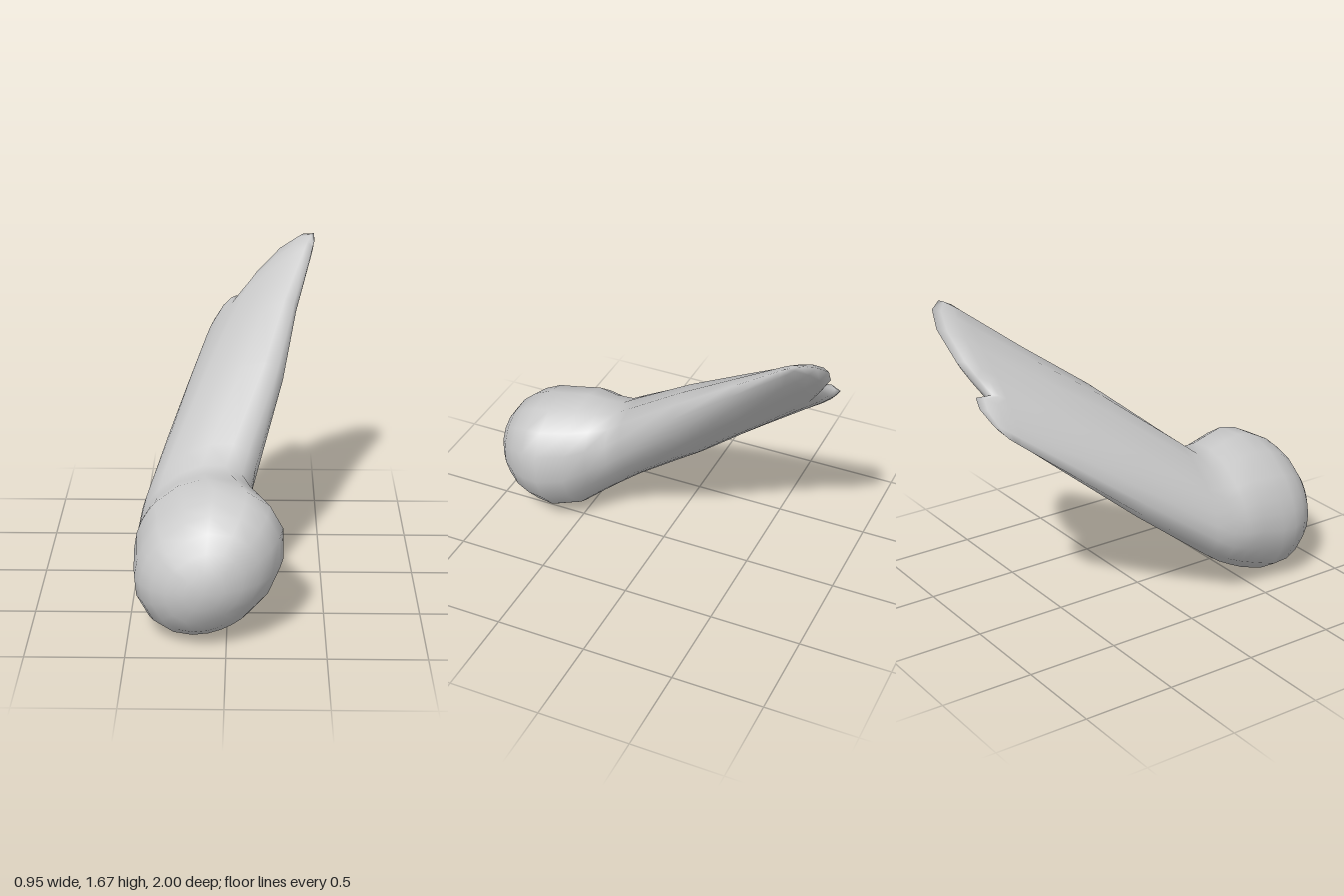
import * as THREE from 'three';
import { mergeVertices } from 'three/addons/utils/BufferGeometryUtils.js';

// Section axes: W runs across the blade, N through its thickness
const W = [0.73, 0.68], N = [-0.68, 0.73];

// Sections of the body: z, centre x, centre y, half width, half thickness
const sections = [
  [0.5, -0.12, 0.41, 0.385, 0.33],
  [0.4, -0.15, 0.435, 0.36, 0.275],
  [0.3, -0.175, 0.47, 0.34, 0.235],
  [0.2, -0.155, 0.55, 0.36, 0.22],
  [-0.18, -0.03, 0.855, 0.4, 0.18],
  [-0.52, 0.06, 1.12, 0.4, 0.12],
  [-0.8, 0.155, 1.345, 0.41, 0.07],
];

// Outline of the notched end: position across the blade, z
const endOutline = [[-1, -0.86], [-0.92, -0.92], [-0.76, -0.96], [-0.58, -0.95], [-0.41, -0.87],
  [-0.25, -0.93], [-0.1, -0.97], [0.3, -1], [0.65, -0.97], [0.92, -0.9], [1, -0.83]];

// Points round a section: out along one face and back along the other
const last = endOutline.length - 1;
const loop = [];
for (let i = last; i >= 0; i--) loop.push({ s: endOutline[i][0], end: endOutline[i][1], side: 1 });
for (let i = 1; i < last; i++) loop.push({ s: endOutline[i][0], end: endOutline[i][1], side: -1 });

function ringPoint(p, z, cx, cy, a, b) {
  const u = a * p.s, v = b * p.side * Math.sqrt(Math.max(0, 1 - p.s * p.s));
  return [cx + W[0] * u + N[0] * v, cy + W[1] * u + N[1] * v, z];
}

function loft(rings) {
  const n = loop.length, index = [];
  for (let i = 0; i < rings.length - 1; i++) {
    for (let j = 0; j < n; j++) {
      const k = (j + 1) % n;
      const a = i * n + j, b = i * n + k, c = a + n, d = b + n;
      index.push(c, d, a, d, b, a);
    }
  }
  const g = new THREE.BufferGeometry();
  g.setAttribute('position', new THREE.Float32BufferAttribute(rings.flat(2), 3));
  g.setIndex(index);
  const merged = mergeVertices(g, 1e-4);
  merged.computeVertexNormals();
  return merged;
}

export function createModel() {
  const rings = [];

  // Rounded front of the bulb
  for (let i = 0; i <= 6; i++) {
    const t = (i / 6) * Math.PI / 2, f = Math.sin(t), k = Math.cos(t);
    rings.push(loop.map(p => ringPoint(p, 0.64 + 0.36 * k, -0.09 - 0.02 * k, 0.385 - 0.03 * k, 0.42 * f, 0.34 * f)));
  }

  // Neck and blade
  for (const s of sections) rings.push(loop.map(p => ringPoint(p, ...s)));

  // Thinning, notched end
  const [z0, x0, y0, a, b] = sections[sections.length - 1];
  for (const [k, thick] of [[0.4, 0.85], [0.8, 0.5], [1, 0]]) {
    rings.push(loop.map(p => {
      const z = z0 + (p.end - z0) * k, d = z0 - z;
      return ringPoint(p, z, x0 + 0.34 * d, y0 + 0.8 * d, a, b * thick);
    }));
  }

  const body = new THREE.Mesh(loft(rings), new THREE.MeshStandardMaterial({ color: 0xcccccc }));
  body.name = 'bulbWithBlade';
  const group = new THREE.Group();
  group.name = 'model';
  group.add(body);
  return group;
}
